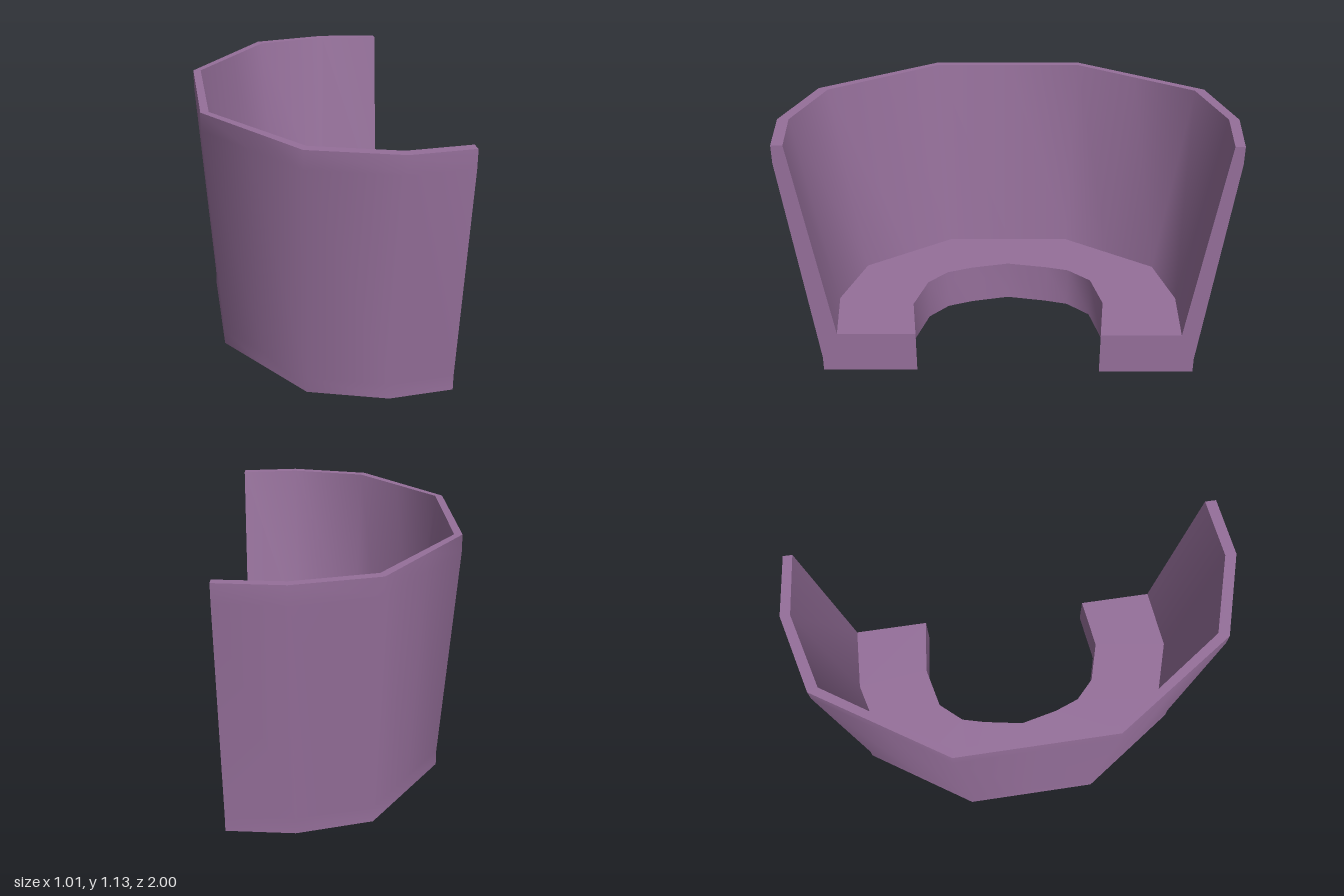
import * as THREE from 'three';
import { toCreasedNormals } from 'three/addons/utils/BufferGeometryUtils.js';

// Plan outlines [x, z], running from the back cut end round to the front cut end
const hole = [[0.505, -0.42], [0.24, -0.45], [0.04, -0.405], [-0.055, -0.3], [-0.085, -0.19], [-0.12, 0],
  [-0.08, 0.18], [-0.035, 0.3], [0.06, 0.39], [0.25, 0.445], [0.495, 0.415]];
const floorEdge = [[0.505, -0.785], [0.2, -0.8], [-0.09, -0.725], [-0.37, -0.305],
  [-0.37, 0.3], [-0.1, 0.705], [0.2, 0.8], [0.495, 0.77]];
const rimInner = [[0.505, -0.925], [0.22, -0.955], [-0.125, -0.865], [-0.475, -0.345],
  [-0.475, 0.345], [-0.135, 0.835], [0.22, 0.945], [0.495, 0.915]];
const rimOuter = [[0.505, -0.967], [0.22, -1], [-0.14, -0.91], [-0.51, -0.35],
  [-0.51, 0.35], [-0.155, 0.88], [0.22, 0.995], [0.495, 0.965]];
const base = [[0.505, -0.85], [0.21, -0.877], [-0.115, -0.795], [-0.44, -0.31],
  [-0.44, 0.31], [-0.125, 0.77], [0.21, 0.872], [0.495, 0.845]];

// Adds midpoints on the three long sides so every outline has eleven points
function subdivide(points) {
  const out = [];
  points.forEach((p, i) => {
    out.push(p);
    if (i >= 2 && i <= 4) {
      const q = points[i + 1];
      out.push([(p[0] + q[0]) / 2, (p[1] + q[1]) / 2]);
    }
  });
  return out;
}

const ring = (points, y) => points.map(([x, z]) => new THREE.Vector3(x, y, z));

function shellGeometry() {
  const outer = subdivide(rimOuter);
  const foot = subdivide(base);
  const rings = [
    ring(hole, 0), ring(hole, 0.2),
    ring(subdivide(floorEdge), 0.2), ring(subdivide(rimInner), 1.13),
    ring(outer, 1.13), ring(outer, 1.05),
    ring(foot, 0.07), ring(foot, 0),
  ];
  const positions = [];
  const tri = (...corners) => corners.forEach((v) => positions.push(v.x, v.y, v.z));

  // Skin between neighbouring outlines, closed underneath
  const last = hole.length - 1;
  rings.forEach((r, i) => {
    const next = rings[(i + 1) % rings.length];
    for (let j = 0; j < last; j++) {
      tri(r[j], next[j], next[j + 1]);
      tri(r[j], next[j + 1], r[j + 1]);
    }
  });

  // L-shaped cut faces at both ends
  for (const [a, b, c] of [[0, 1, 2], [0, 2, 6], [0, 6, 7], [2, 3, 5], [2, 5, 6], [3, 4, 5]]) {
    tri(rings[a][last], rings[b][last], rings[c][last]);
    tri(rings[c][0], rings[b][0], rings[a][0]);
  }

  const geometry = new THREE.BufferGeometry();
  geometry.setAttribute('position', new THREE.Float32BufferAttribute(positions, 3));
  return toCreasedNormals(geometry, 0.8);
}

export function createModel() {
  const group = new THREE.Group();
  group.name = 'halfPot';
  const shell = new THREE.Mesh(shellGeometry(), new THREE.MeshStandardMaterial({ color: 0x956f9a }));
  shell.name = 'potShell';
  group.add(shell);
  return group;
}
